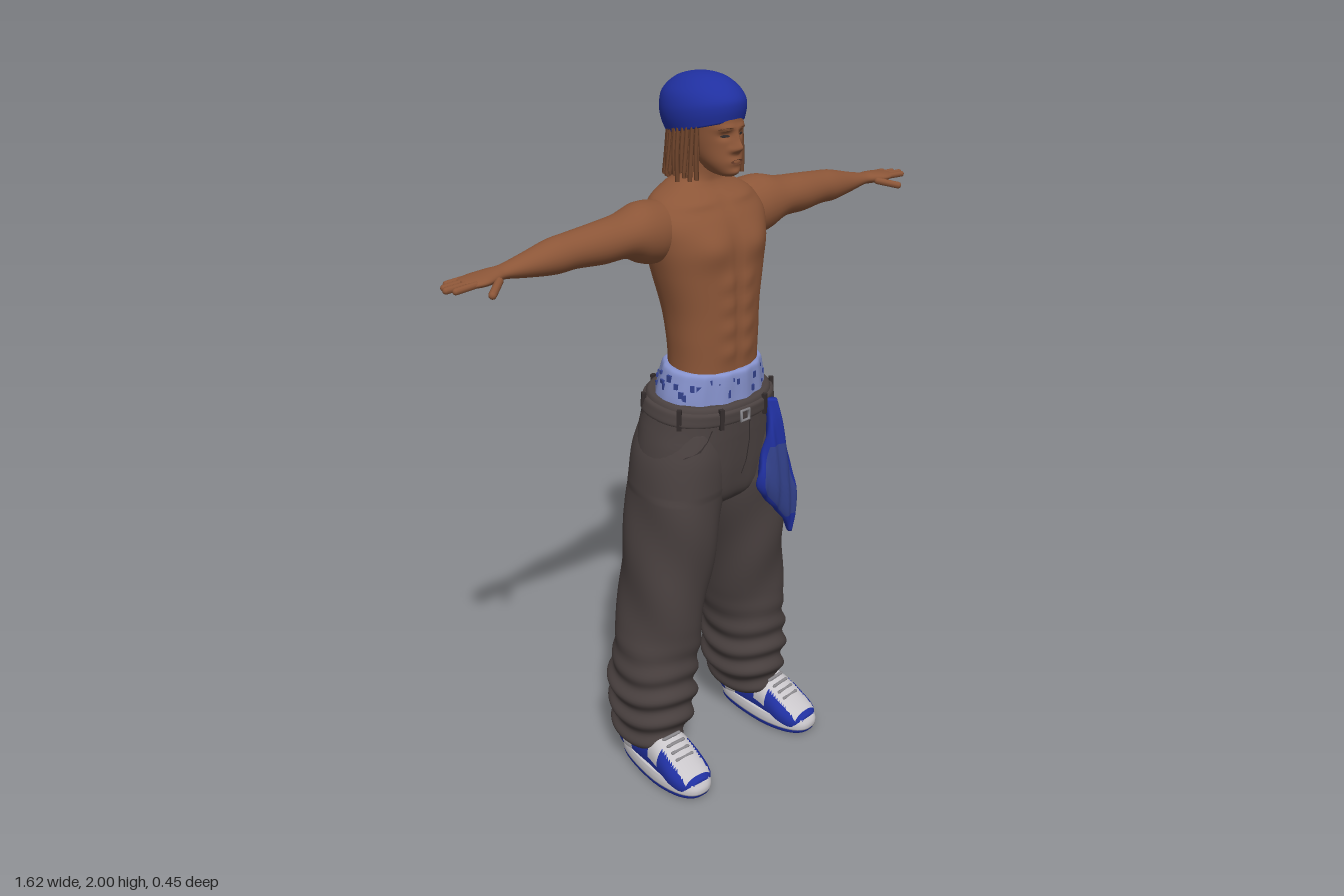
import * as THREE from 'three';

const paint = (name, color) => Object.assign(new THREE.MeshStandardMaterial({ color }), { name });
const skin = paint('skin', 0x8c5638);
const lipTone = paint('lipBrown', 0x6b3f2b);
const hair = paint('hairBrown', 0x70452c);
const blue = paint('bandanaBlue', 0x2030a0);
const fadedBlue = paint('patternBlue', 0x34438f);
const denim = paint('charcoalDenim', 0x4a4140);
const dark = paint('darkSeam', 0x332c2c);
const linen = paint('paleBlueCotton', 0x8692cc);
const white = paint('shoeWhite', 0xc9c6ca);
const metal = paint('buckleGrey', 0x8d8b8f);

const gauss = (d, w) => Math.exp(-(d * d) / (w * w));
const hump = (x, y, cx, cy, wx, wy) => gauss(Math.abs(x) - cx, wx) * gauss(y - cy, wy);
const spline = (a, b, c, d, t) =>
  b + 0.5 * t * (c - a + t * (2 * a - 5 * b + 4 * c - d + t * (3 * (b - c) + d - a)));

// Smooth skin through cross-sections [t, u0, u1, v0, v1], t ascending.
// axis y: u=x v=z; axis x: u=z v=y; axis z: u=y v=x.
function loft(rows, { axis = 'y', n = 32, steps = 5, power = 2, deform, pick, flip = false } = {}) {
  const pos = [], rings = (rows.length - 1) * steps + 1, p = new THREE.Vector3();
  const place = (t, u, v) => axis === 'y' ? p.set(u, t, v) : axis === 'x' ? p.set(t, v, u) : p.set(v, u, t);
  const push = (th) => {
    if (deform) deform(p, th);
    pos.push(flip ? -p.x : p.x, p.y, p.z);
  };
  const at = (i) => rows[Math.min(Math.max(i, 0), rows.length - 1)];
  const ring = (i) => {
    const k = Math.min(Math.floor(i / steps), rows.length - 2), f = i / steps - k;
    return at(k).map((_, c) => spline(at(k - 1)[c], at(k)[c], at(k + 1)[c], at(k + 2)[c], f));
  };
  const round = (s) => Math.sign(s) * Math.pow(Math.abs(s), 2 / power);
  for (let i = 0; i < rings; i++) {
    const [t, u0, u1, v0, v1] = ring(i);
    for (let j = 0; j < n; j++) {
      const th = j / n * Math.PI * 2;
      place(t, (u0 + u1) / 2 + (u1 - u0) / 2 * round(Math.cos(th)), (v0 + v1) / 2 + (v1 - v0) / 2 * round(Math.sin(th)));
      push(th);
    }
  }
  for (const i of [0, rings - 1]) {
    const [t, u0, u1, v0, v1] = ring(i);
    place(t, (u0 + u1) / 2, (v0 + v1) / 2);
    push(-1);
  }
  const sets = [[], []];
  const tri = (a, b, c, th) => {
    const mid = [0, 1, 2].map((k) => (pos[a * 3 + k] + pos[b * 3 + k] + pos[c * 3 + k]) / 3);
    sets[pick && pick(mid, th) ? 1 : 0].push(...(flip ? [a, c, b] : [a, b, c]));
  };
  for (let j = 0; j < n; j++) {
    const k = (j + 1) % n, th = (j + 0.5) / n * Math.PI * 2, top = (rings - 1) * n;
    for (let i = 0; i < rings - 1; i++) {
      const a = i * n + j, b = i * n + k;
      tri(a, a + n, b, th);
      tri(b, a + n, b + n, th);
    }
    tri(rings * n, j, k, th);
    tri(rings * n + 1, top + k, top + j, th);
  }
  const g = new THREE.BufferGeometry();
  g.setAttribute('position', new THREE.Float32BufferAttribute(pos, 3));
  g.setIndex([...sets[0], ...sets[1]]);
  if (pick) {
    g.addGroup(0, sets[0].length, 0);
    g.addGroup(sets[0].length, sets[1].length, 1);
  }
  g.computeVertexNormals();
  return g;
}
const sym = (rows) => rows.map(([y, w, back, front]) => [y, -w, w, back, front]);

export function createModel() {
  const model = new THREE.Group();
  model.name = 'figure';
  const add = (name, geo, mat, parent = model) => {
    const m = new THREE.Mesh(geo, mat);
    m.name = name;
    parent.add(m);
    return m;
  };
  const sides = [['left', 1], ['right', -1]];
  // Lays a flat shape onto the front (dir 1) or back (dir -1) of other parts
  const decal = (name, shape, targets, dir, mat) => {
    const g = new THREE.ShapeGeometry(shape, 8), a = g.attributes.position, ray = new THREE.Raycaster();
    for (let i = 0; i < a.count; i++) {
      ray.set(new THREE.Vector3(a.getX(i), a.getY(i), dir), new THREE.Vector3(0, 0, -dir));
      const hit = ray.intersectObjects(targets)[0];
      a.setZ(i, (hit ? hit.point.z : 0) + dir * 0.003);
    }
    g.computeVertexNormals();
    mat.side = THREE.DoubleSide;
    return add(name, g, mat);
  };
  const oval = (x, y, rx, ry, rot = 0) => new THREE.Shape().absellipse(x, y, rx, ry, 0, Math.PI * 2, false, rot);

  // Torso and neck with muscle relief
  add('torso', loft(sym([[1.15, 0.135, -0.09, 0.105], [1.25, 0.132, -0.09, 0.108], [1.32, 0.135, -0.095, 0.11],
    [1.4, 0.142, -0.11, 0.11], [1.5, 0.165, -0.13, 0.108], [1.58, 0.183, -0.138, 0.1], [1.64, 0.187, -0.138, 0.08],
    [1.69, 0.155, -0.128, 0.045], [1.72, 0.1, -0.118, 0.018], [1.745, 0.062, -0.097, 0.012],
    [1.8, 0.052, -0.078, 0.018], [1.86, 0.05, -0.075, 0.02]]), {
    n: 72, steps: 8, power: 2.2,
    deform: (p) => {
      const { x, y } = p;
      if (p.z > 0) {
        p.z += 0.014 * hump(x, y, 0.075, 1.575, 0.055, 0.045) - 0.006 * gauss(x, 0.01) * gauss(y - 1.45, 0.2);
        for (const ay of [1.29, 1.355, 1.42, 1.48]) p.z += 0.006 * hump(x, y, 0.034, ay, 0.024, 0.024);
        p.z += 0.007 * hump(x, y, 0.08, 1.685, 0.06, 0.012);
      } else {
        p.z += 0.018 * gauss(x, 0.018) * gauss(y - 1.42, 0.22);
        p.z -= 0.01 * hump(x, y, 0.09, 1.58, 0.045, 0.06) + 0.006 * hump(x, y, 0.045, 1.32, 0.03, 0.1);
      }
    },
  }), skin);

  // Arms and hands
  for (const [side, s] of sides) {
    const arm = new THREE.Group();
    arm.name = side + 'Arm';
    model.add(arm);
    add('armAndPalm', loft([[0.1, -0.11, 0.02, 1.55, 1.685], [0.17, -0.122, 0.035, 1.535, 1.698], [0.22, -0.113, 0.038, 1.545, 1.7],
      [0.28, -0.096, 0.035, 1.572, 1.686], [0.36, -0.082, 0.03, 1.574, 1.68], [0.44, -0.078, 0.02, 1.58, 1.672],
      [0.5, -0.078, 0.014, 1.578, 1.665], [0.58, -0.068, 0, 1.588, 1.645], [0.64, -0.06, -0.008, 1.598, 1.632],
      [0.67, -0.066, -0.002, 1.597, 1.63], [0.71, -0.074, 0.008, 1.597, 1.626], [0.745, -0.071, 0, 1.599, 1.621],
      [0.755, -0.06, -0.01, 1.603, 1.617]], { axis: 'x', n: 28, flip: s < 0 }), skin, arm);
    const finger = (name, a, b, r) => {
      const from = new THREE.Vector3(s * a[0], a[1], a[2]), d = new THREE.Vector3(s * b[0], b[1], b[2]).sub(from);
      const m = add(name, new THREE.CapsuleGeometry(r, d.length(), 4, 10), skin, arm);
      m.position.copy(from).addScaledVector(d, 0.5);
      m.quaternion.setFromUnitVectors(new THREE.Vector3(0, 1, 0), d.normalize());
    };
    [0.775, 0.795, 0.803, 0.79].forEach((tip, i) =>
      finger('finger', [0.735, 1.611, -0.062 + i * 0.0185], [tip, 1.608, -0.066 + i * 0.02], 0.0085));
    finger('thumb', [0.675, 1.608, 0], [0.722, 1.594, 0.038], 0.01);
  }

  // Head with sculpted face
  const head = add('head', loft(sym([[1.752, 0.018, 0.03, 0.08], [1.762, 0.034, 0, 0.09], [1.79, 0.052, -0.03, 0.092],
    [1.83, 0.064, -0.08, 0.09], [1.87, 0.07, -0.105, 0.09], [1.92, 0.074, -0.115, 0.084], [1.96, 0.06, -0.1, 0.05],
    [1.98, 0.02, -0.04, 0.01]]), {
    n: 72, steps: 10, power: 2.2,
    deform: (p) => {
      if (p.z < 0.02) return;
      const { x, y } = p;
      p.z += 0.022 * gauss(x, 0.011) * gauss(y - 1.828, 0.014) + 0.012 * gauss(x, 0.009) * gauss(y - 1.85, 0.02)
        + 0.009 * hump(x, y, 0.012, 1.822, 0.009, 0.008) - 0.009 * hump(x, y, 0.028, 1.857, 0.015, 0.01)
        + 0.007 * hump(x, y, 0.025, 1.876, 0.025, 0.008) + 0.007 * gauss(x, 0.022) * gauss(y - 1.791, 0.012)
        + 0.006 * gauss(x, 0.018) * gauss(y - 1.764, 0.01);
    },
  }), skin);
  head.updateMatrixWorld(true);
  decal('lips', oval(0, 1.791, 0.02, 0.0065), [head], 1, lipTone);
  for (const [side, s] of sides) {
    decal(side + 'Eye', oval(s * 0.028, 1.856, 0.011, 0.0035), [head], 1, dark);
    decal(side + 'Eyebrow', oval(s * 0.03, 1.874, 0.017, 0.0035, -s * 0.12), [head], 1, hair);
  }

  // Head wrap, knot and tails
  add('headWrap', loft(sym([[1.868, 0.09, -0.125, 0.088], [1.9, 0.098, -0.145, 0.094], [1.93, 0.098, -0.153, 0.092],
    [1.96, 0.086, -0.146, 0.074], [1.985, 0.058, -0.11, 0.045], [1.997, 0.028, -0.065, 0.01], [2, 0.002, -0.03, -0.026]]), {
    n: 48, deform: (p) => { p.y += 0.25 * p.z * Math.min(1, (2 - p.y) / 0.13) + 0.008 * gauss(p.x, 0.05) * (p.z > 0 ? 2 - p.y : 0); },
  }), blue);
  const knot = add('wrapKnot', new THREE.SphereGeometry(0.026, 20, 14), blue);
  knot.position.set(0.035, 1.862, -0.138);
  knot.scale.set(1.2, 0.9, 0.9);
  for (const [i, turn] of [[0, 0.7], [1, 0.95]]) {
    const tail = add('wrapTail', loft([[0, -0.01, 0.01, -0.014, 0.014], [0.04, -0.012, 0.01, -0.025, 0.025],
      [0.085, -0.01, 0.012, -0.034, 0.032], [0.1, -0.006, 0.008, -0.026, 0.03]], {
      axis: 'z', n: 24, deform: (p) => { p.y += 0.005 * Math.sin(p.x * 140) - p.z * (0.5 + i * 0.2); },
    }), blue);
    tail.position.set(0.035, 1.862, -0.138);
    tail.rotation.y = Math.PI - turn;
  }

  // Rope-like hair locks around the sides and back
  const locks = new THREE.Group();
  locks.name = 'hairLocks';
  model.add(locks);
  let seed = 7;
  const rnd = () => (seed = (seed * 16807) % 2147483647) / 2147483647;
  for (let layer = 0; layer < 2; layer++) {
    for (let i = 0; i < 34; i++) {
      const a = 1.0 + (i + rnd() * 0.6) / 34 * (Math.PI * 2 - 2.0), r = 1 - layer * 0.13;
      const x = 0.086 * r * Math.sin(a), z = -0.02 + 0.1 * r * Math.cos(a), back = (1 - Math.cos(a)) / 2;
      const len = 0.095 + 0.025 * back + 0.03 * rnd(), out = 1.03 + 0.14 * rnd();
      const curve = new THREE.CatmullRomCurve3([new THREE.Vector3(x, 1.885, z),
        new THREE.Vector3(x * 1.08, 1.87 - len / 2, z * 1.05), new THREE.Vector3(x * out, 1.872 - len, z * out)]);
      add('hairLock', new THREE.TubeGeometry(curve, 5, 0.0058, 6), hair, locks);
    }
  }

  // Boxer waistband with scattered print
  const dip = (p) => { if (p.y > 1.05) p.y -= 0.08 * p.z; };
  add('boxers', loft(sym([[1.12, 0.172, -0.135, 0.122], [1.17, 0.168, -0.122, 0.12], [1.22, 0.155, -0.112, 0.12],
    [1.24, 0.148, -0.106, 0.118], [1.246, 0.138, -0.098, 0.11]]), {
    n: 64, deform: (p, th) => { dip(p); if (th >= 0) p.z += 0.003 * Math.sin(th * 14); },
  }), linen);
  for (let i = 0; i < 46; i++) {
    const a = i * 2.4, y = 1.175 + 0.05 * rnd(), f = (y - 1.17) / 0.05;
    const rx = 0.168 - 0.013 * f, rz = 0.121 - 0.005 * f, z = -0.001 + rz * Math.sin(a);
    const m = add('boxerPrint', new THREE.BoxGeometry(0.006 + 0.01 * rnd(), 0.008 + 0.014 * rnd(), 0.007), fadedBlue);
    m.position.set(rx * Math.cos(a), y - 0.08 * z, z);
    m.rotation.y = Math.atan2(Math.cos(a) / rx, Math.sin(a) / rz);
  }

  // Baggy trousers: seat plus two legs with bunched folds
  const seat = add('trouserSeat', loft(sym([[0.83, 0.1, -0.11, 0.07], [0.87, 0.18, -0.145, 0.11], [0.94, 0.222, -0.158, 0.124],
    [1.02, 0.216, -0.16, 0.13], [1.09, 0.198, -0.156, 0.133], [1.15, 0.182, -0.148, 0.134], [1.162, 0.17, -0.138, 0.122]]), {
    n: 56, power: 2.3, deform: (p) => { dip(p); p.z += (p.z < 0 ? 0.012 : -0.006) * gauss(p.x, 0.02) * gauss(p.y - 0.9, 0.12); },
  }), denim);
  const legs = sides.map(([side, s]) => add(side + 'TrouserLeg', loft([[0.075, 0.135, 0.278, -0.14, 0.04],
    [0.12, 0.105, 0.295, -0.163, 0.064], [0.2, 0.075, 0.303, -0.174, 0.078], [0.28, 0.072, 0.306, -0.178, 0.082],
    [0.36, 0.066, 0.296, -0.17, 0.083], [0.5, 0.05, 0.277, -0.165, 0.092], [0.65, 0.028, 0.262, -0.164, 0.107],
    [0.8, 0.004, 0.25, -0.158, 0.12], [0.9, -0.006, 0.238, -0.158, 0.125], [1, -0.005, 0.22, -0.154, 0.124],
    [1.08, 0.02, 0.185, -0.135, 0.11]], {
    n: 56, steps: 10, power: 2.2, flip: s < 0,
    deform: (p, th) => {
      if (th < 0) return;
      const low = 1 - THREE.MathUtils.smoothstep(p.y, 0.22, 0.5);
      const r = 0.0085 * low * Math.sin(p.y * 78 + 2 * Math.sin(th + s) + 1.5 * Math.cos(2 * th))
        + 0.004 * (1 - low) * Math.sin(p.y * 22 + th * 3 + s) * (p.y < 0.9 ? 1 : 0.3);
      p.x += r * Math.cos(th);
      p.z += r * Math.sin(th);
    },
  }), denim));
  const cloth = [seat, ...legs];
  cloth.forEach((m) => m.updateMatrixWorld(true));
  // Pocket and fly seams
  const strip = (pts, w) => new THREE.Shape([...pts, ...pts.map(([x, y]) => [x + w, y + w / 2]).reverse()].map(([x, y]) => new THREE.Vector2(x, y)));
  for (const [side, s] of sides) {
    decal(side + 'FrontPocketSeam', strip([[0.11, 1.09], [0.125, 1.06], [0.15, 1.035], [0.185, 1.02]].map(([x, y]) => [s * x, y]), 0.005), cloth, 1, dark);
    decal(side + 'BackPocketTop', strip([[0.05, 1.05], [0.09, 1.045], [0.14, 1.05]].map(([x, y]) => [s * x, y]), 0.005), cloth, -1, dark);
    decal(side + 'BackPocketSide', strip([[0.052, 1.045], [0.055, 0.99], [0.06, 0.95]].map(([x, y]) => [s * x, y]), 0.004), cloth, -1, dark);
  }
  decal('flySeam', strip([[0.015, 1.09], [0.018, 1.03], [0.012, 0.97], [0, 0.93]], 0.004), cloth, 1, dark);

  // Belt, loops and buckle
  add('belt', loft(sym([[1.108, 0.19, -0.15, 0.13], [1.113, 0.199, -0.158, 0.139], [1.13, 0.195, -0.157, 0.14],
    [1.145, 0.19, -0.154, 0.14], [1.15, 0.18, -0.145, 0.13]]), { n: 64, power: 2.3, steps: 3, deform: dip }), denim);
  for (const a of [0.5, 1.15, 2, 2.65, 3.6, 4.3, 5.1, 5.8]) {
    const z = -0.008 + 0.15 * Math.sin(a), m = add('beltLoop', new THREE.BoxGeometry(0.013, 0.058, 0.012), dark);
    m.position.set(0.198 * Math.cos(a), 1.13 - 0.08 * z, z);
    m.rotation.y = Math.atan2(Math.cos(a) / 0.198, Math.sin(a) / 0.15);
  }
  const buckle = add('buckle', new THREE.TorusGeometry(0.017, 0.004, 6, 4).rotateZ(Math.PI / 4), metal);
  buckle.position.set(-0.01, 1.118, 0.145);
  buckle.scale.set(1.2, 1.2, 1);

  // Cloth hanging from the belt
  add('hangingCloth', loft([[0.685, 0.19, 0.2, 0.125, 0.14], [0.75, 0.152, 0.205, 0.115, 0.15], [0.82, 0.09, 0.206, 0.113, 0.158],
    [0.88, 0.048, 0.185, 0.113, 0.163], [0.95, 0.06, 0.165, 0.118, 0.164], [1.02, 0.076, 0.145, 0.122, 0.162],
    [1.08, 0.086, 0.125, 0.125, 0.158], [1.13, 0.088, 0.115, 0.12, 0.146]], {
    n: 40, steps: 6, deform: (p) => { p.z += 0.005 * Math.sin(p.x * 150 + p.y * 20); },
    pick: ([, y], th) => y > 0.75 && y < 1.0 && Math.sin(th) > 0 && Math.abs(Math.cos(th)) < 0.78,
  }), [blue, fadedBlue]);

  // Shoes: rubber outsole, pale midsole, two-tone upper and laces
  for (const [side, s] of sides) {
    const shoe = new THREE.Group();
    shoe.name = side + 'Shoe';
    shoe.position.set(s * 0.215, 0, 0);
    shoe.rotation.y = s * 0.06;
    model.add(shoe);
    const taper = (p) => { p.x *= 0.88 + 0.14 * THREE.MathUtils.smoothstep(p.z, -0.08, 0.09); };
    add('outsole', loft(sym([[0, 0.066, -0.13, 0.195], [0.006, 0.071, -0.136, 0.205], [0.018, 0.073, -0.138, 0.211]]), { n: 48, steps: 3, power: 2.5, deform: taper }), blue, shoe);
    add('midsole', loft(sym([[0.017, 0.073, -0.138, 0.211], [0.034, 0.073, -0.14, 0.212], [0.05, 0.069, -0.136, 0.205]]), { n: 48, steps: 3, power: 2.5, deform: taper }), white, shoe);
    add('upper', loft([[-0.134, 0.04, 0.09, -0.035, 0.035], [-0.115, 0.02, 0.125, -0.054, 0.054], [-0.05, 0.01, 0.145, -0.06, 0.06],
      [0.03, 0, 0.145, -0.063, 0.063], [0.085, 0, 0.125, -0.067, 0.067], [0.135, 0, 0.095, -0.067, 0.067],
      [0.175, 0.005, 0.074, -0.056, 0.056], [0.2, 0.02, 0.056, -0.03, 0.03]], {
      axis: 'z', n: 40, steps: 6, power: 2.3,
      pick: ([x, y, z]) => (Math.abs(x) < 0.046 && z > 0.01 && z < 0.185 && y > 0.05)
        || (z > 0.03 && z < 0.075 && y > 0.07) || (z > -0.1 && z < -0.05 && y < 0.1),
    }), [blue, white], shoe);
    for (let i = 0; i < 4; i++) {
      const lace = add('lace', new THREE.CapsuleGeometry(0.005, 0.056, 3, 8).rotateZ(Math.PI / 2), metal, shoe);
      lace.position.set(0, 0.136 - i * 0.013, 0.065 + i * 0.02);
    }
  }
  return model;
}
